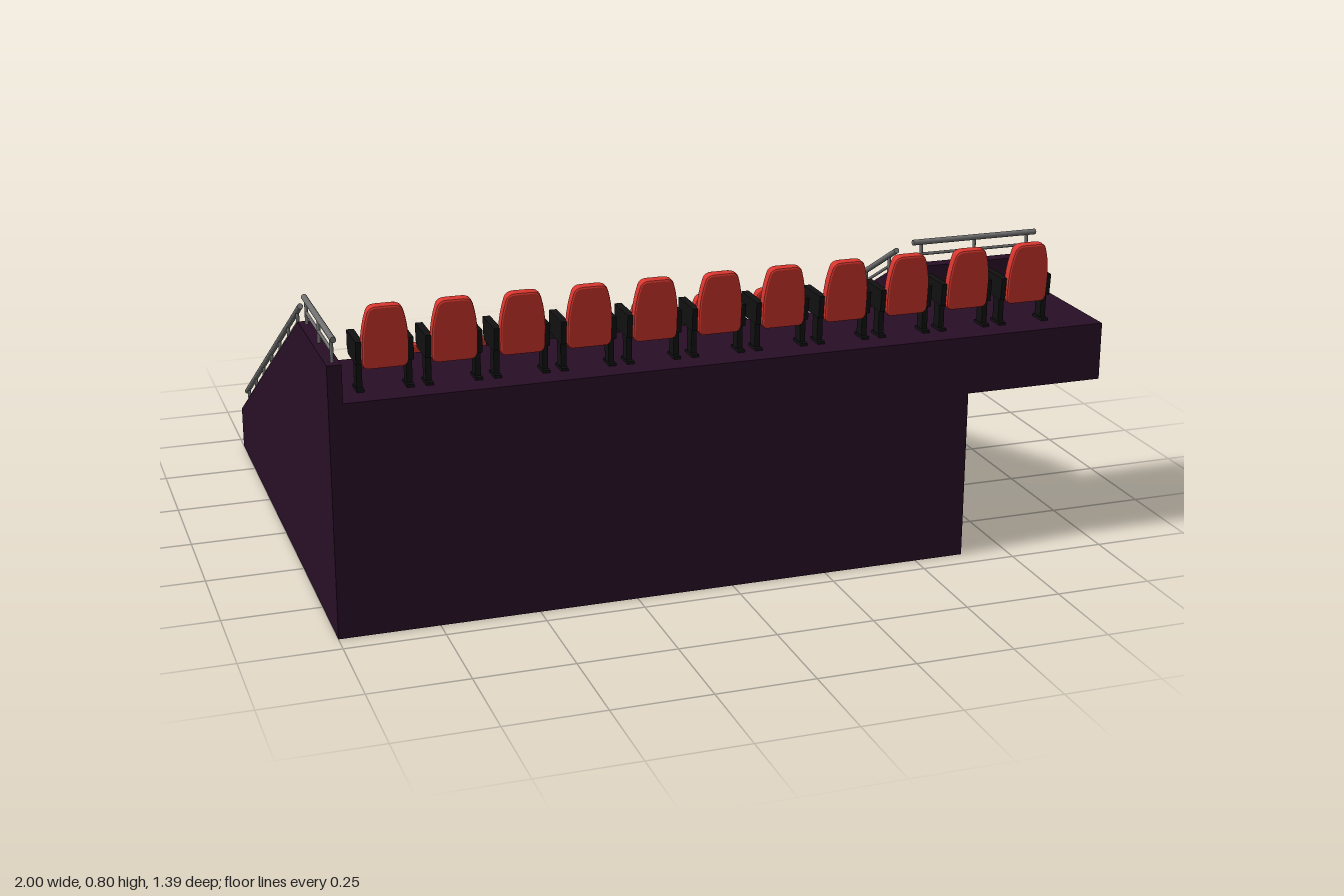
import * as THREE from 'three';

const mat = (name, color) => {
  const m = new THREE.MeshStandardMaterial({ color });
  m.name = name;
  return m;
};

export function createModel() {
  const plum = mat('dark plum', 0x280e26);
  const red = mat('seat red', 0xd8362e);
  const black = mat('frame black', 0x111111);
  const steel = mat('rail grey', 0x707070);
  const root = new THREE.Group();
  root.name = 'seatingStand';

  const add = (parent, name, geo, material) => {
    const m = new THREE.Mesh(geo, material);
    m.name = name;
    parent.add(m);
    return m;
  };
  // Box given by its minimum and maximum on each axis
  const box = (parent, name, material, x0, x1, y0, y1, z0, z1) => {
    const g = new THREE.BoxGeometry(x1 - x0, y1 - y0, z1 - z0);
    g.translate((x0 + x1) / 2, (y0 + y1) / 2, (z0 + z1) / 2);
    return add(parent, name, g, material);
  };

  // Terraces, each running back to the riser of the next
  const RISE = 0.1475, RUN = 0.285, Z0 = -0.48, BACK = 0.695;
  const xL = -0.965, xR = 0.595, mid = (xL + xR) / 2;
  for (let i = 0; i < 4; i++) {
    const z0 = Z0 + i * RUN;
    box(root, 'terrace' + (i + 1), plum, xL, xR, 0, RISE * (i + 1), z0, i < 3 ? z0 + RUN : BACK);
  }

  // Stairs at both sides; the lowest flight wraps round its inner corner
  for (const side of [-1, 1]) {
    const step = (name, inner, y0, y1, z0, z1) => {
      const a = mid + side * inner, b = side > 0 ? xR : xL;
      box(root, name, plum, Math.min(a, b), Math.max(a, b), y0, y1, z0, z1);
    };
    const h = RISE / 4, d = RUN / 4;
    for (let k = 0; k < 3; k++) {
      step('entryStep', 0.455 - k * -0.046, k * h, (k + 1) * h, -0.695 + k * d, Z0);
    }
    for (let f = 1; f < 4; f++) {
      for (let k = 1; k < 4; k++) {
        const y = f * RISE + (k - 1) * h, zEnd = Z0 + f * RUN;
        step('stairStep', 0.545, y, y + h, zEnd - (4 - k) * d, zEnd);
      }
    }
  }

  // Sloping side walls
  const TOP = 0.685, LOW = 0.115, CREST = 0.335;
  const sideWall = (name, x0, x1, zBack, topBack) => {
    const s = new THREE.Shape([
      [-zBack, 0], [0.695, 0], [0.695, LOW], [-CREST, TOP], [-0.37, TOP], [-zBack, topBack],
    ].map(([u, v]) => new THREE.Vector2(u, v)));
    const g = new THREE.ExtrudeGeometry(s, { depth: x1 - x0, bevelEnabled: false });
    g.rotateY(Math.PI / 2);
    g.translate(x0, 0, 0);
    add(root, name, g, plum);
  };
  sideWall('rightWall', -1, xL, BACK, TOP);
  sideWall('leftWall', xR, 0.63, 0.372, TOP);
  box(root, 'leftWallBase', plum, xR, 0.63, 0, 4 * RISE, 0.372, BACK);

  // Overhanging wing with its parapet
  box(root, 'wingFloor', plum, 0.63, 1, 0.44, 4 * RISE, CREST, BACK);
  box(root, 'wingParapet', plum, 0.63, 1, 4 * RISE, TOP, CREST, 0.372);

  // Handrails: main tube, thin lower tube and posts
  const tube = (parent, name, a, b, r) => {
    const dir = b.clone().sub(a);
    const m = add(parent, name, new THREE.CylinderGeometry(r, r, dir.length(), 10), steel);
    m.position.copy(a).add(b).multiplyScalar(0.5);
    m.quaternion.setFromUnitVectors(new THREE.Vector3(0, 1, 0), dir.normalize());
  };
  const railing = (name, a, b, posts, from, to, lift) => {
    const g = new THREE.Group();
    g.name = name;
    root.add(g);
    const at = (t, dy = 0) => a.clone().lerp(b, t).add(new THREE.Vector3(0, dy, 0));
    tube(g, 'handrail', a, b, 0.0075);
    tube(g, 'lowerRail', at(from, -lift * 0.53), at(to, -lift * 0.53), 0.004);
    for (let i = 0; i < posts; i++) {
      const t = from + (to - from) * i / (posts - 1);
      tube(g, 'railPost', at(t, -lift - 0.006), at(t), 0.0045);
    }
  };
  const V = (x, y, z) => new THREE.Vector3(x, y, z);
  for (const [name, x] of [['rightStairRail', -0.982], ['leftStairRail', 0.612]]) {
    railing(name, V(x, 0.705, 0.275), V(x, 0.168, -0.69), 7, 0.047, 0.959, 0.057);
  }
  railing('rightUpperRail', V(-0.982, 0.746, 0.335), V(-0.982, 0.746, 0.695), 3, 0.07, 0.93, 0.062);
  railing('wingRail', V(0.622, 0.746, 0.352), V(0.978, 0.746, 0.352), 3, 0.07, 0.93, 0.062);

  // Backrest: rounded panel, narrower at the top
  const back = new THREE.Shape();
  back.moveTo(-0.042, 0);
  back.lineTo(0.042, 0);
  back.quadraticCurveTo(0.05, 0.002, 0.051, 0.012);
  back.lineTo(0.051, 0.06);
  back.quadraticCurveTo(0.05, 0.1, 0.039, 0.136);
  back.quadraticCurveTo(0.036, 0.148, 0.02, 0.148);
  back.lineTo(-0.02, 0.148);
  back.quadraticCurveTo(-0.036, 0.148, -0.039, 0.136);
  back.quadraticCurveTo(-0.05, 0.1, -0.051, 0.06);
  back.lineTo(-0.051, 0.012);
  back.quadraticCurveTo(-0.05, 0.002, -0.042, 0);
  const backGeo = new THREE.ExtrudeGeometry(back, {
    depth: 0.014, bevelThickness: 0.006, bevelSize: 0.005, bevelSegments: 2, curveSegments: 4,
  });
  backGeo.translate(0, 0, -0.007);
  backGeo.rotateX(0.1);

  // Cushion: plan outline rounded at its leading edge
  const cushion = new THREE.Shape();
  cushion.moveTo(-0.043, -0.04);
  cushion.lineTo(0.043, -0.04);
  cushion.lineTo(0.043, 0.045);
  cushion.quadraticCurveTo(0.04, 0.064, 0, 0.068);
  cushion.quadraticCurveTo(-0.04, 0.064, -0.043, 0.045);
  const cushionGeo = new THREE.ExtrudeGeometry(cushion, {
    depth: 0.014, bevelThickness: 0.005, bevelSize: 0.004, bevelSegments: 2, curveSegments: 6,
  });
  cushionGeo.rotateX(-Math.PI / 2);

  // Armrest panel, side profile with a sloped lower front
  const arm = new THREE.Shape([
    [-0.055, 0.125], [0.052, 0.125], [0.052, 0.085], [0.042, 0.068], [-0.05, 0.068],
  ].map(([u, v]) => new THREE.Vector2(u, v)));
  const armGeo = new THREE.ExtrudeGeometry(arm, { depth: 0.018, bevelEnabled: false });
  armGeo.rotateY(Math.PI / 2);
  armGeo.translate(-0.009, 0, 0);

  const makeSeat = (x, y, z) => {
    const s = new THREE.Group();
    s.name = 'seat';
    s.position.set(x, y, z);
    root.add(s);
    add(s, 'backrest', backGeo, red).position.set(0, 0.062, 0.045);
    add(s, 'cushion', cushionGeo, red).position.set(0, 0.073, 0);
    box(s, 'seatPan', black, -0.05, 0.05, 0.06, 0.07, -0.045, 0.045);
    for (const e of [-1, 1]) {
      add(s, 'armrest', armGeo, black).position.x = e * 0.06;
      box(s, 'leg', black, e * 0.06 - 0.007, e * 0.06 + 0.007, 0.006, 0.07, 0.008, 0.038);
      box(s, 'foot', black, e * 0.06 - 0.009, e * 0.06 + 0.009, 0, 0.007, 0, 0.05);
    }
  };

  // Rows of seats from the lowest terrace up
  const rows = [[-0.6, 6, -0.28], [-0.645, 6, 0], [-0.6, 6, 0.28], [-0.85, 11, 0.58]];
  rows.forEach(([x, n, z], i) => {
    for (let k = 0; k < n; k++) makeSeat(x + k * 0.166, RISE * (i + 1), z);
  });
  return root;
}
